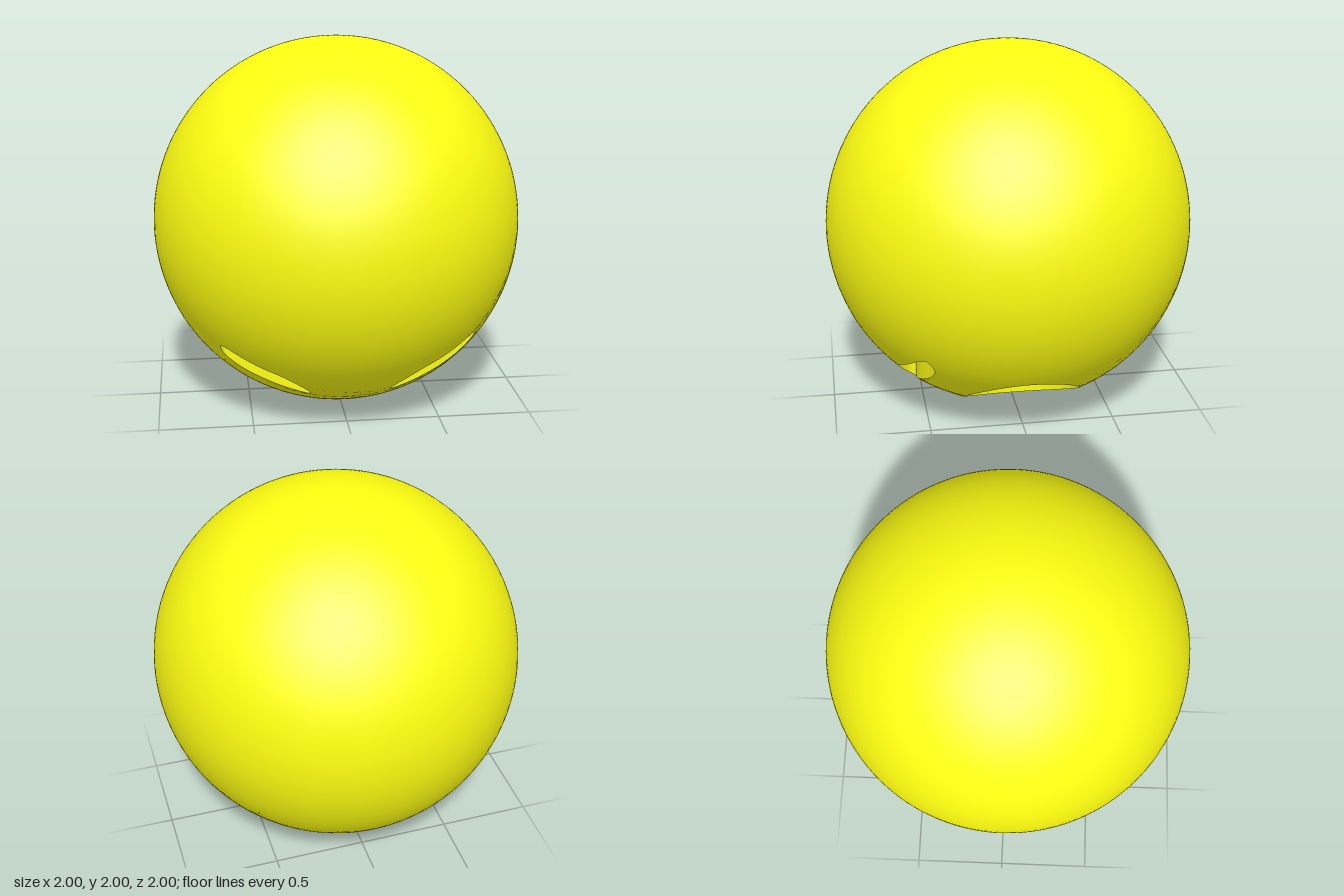
import * as THREE from 'three';

const OUTER = 1, INNER = 0.9, CENTRE_Y = 1, SHIFT = 0.01;

const yellow = new THREE.MeshStandardMaterial({ color: 0xffff11 });
const yellowThin = new THREE.MeshStandardMaterial({ color: 0xffff11, side: THREE.DoubleSide });
const grey = new THREE.MeshStandardMaterial({ color: 0x555555, side: THREE.DoubleSide });
const black = new THREE.MeshStandardMaterial({ color: 0x080808, side: THREE.DoubleSide });

const V2 = (x, z) => new THREE.Vector2(x, z);

// Outlines are drawn in the x-z plane and cut straight up into the ball
function circle(cx, r, n) {
  return Array.from({ length: n }, (_, i) => {
    const a = (i / n) * Math.PI * 2;
    return V2(cx + r * Math.cos(a), r * Math.sin(a));
  });
}

function browOutline(side) {
  const pts = [[0.21, 0.556], [0.24, 0.605], [0.35, 0.652], [0.49, 0.626], [0.64, 0.56],
    [0.675, 0.52], [0.655, 0.487], [0.6, 0.492], [0.43, 0.54], [0.3, 0.553]];
  const curve = new THREE.CatmullRomCurve3(
    pts.map(([x, z]) => new THREE.Vector3(side * x + SHIFT, 0, z)), true);
  return curve.getPoints(60).slice(0, -1).map((p) => V2(p.x, p.z));
}

function mouthOutline() {
  const out = [], hx = 0.26, hz = 0.057, r = 0.045;
  [[1, 1], [-1, 1], [-1, -1], [1, -1]].forEach(([sx, sz], q) => {
    for (let i = 0; i <= 8; i++) {
      const a = (q + i / 8) * Math.PI / 2;
      out.push(V2(SHIFT + sx * (hx - r) + r * Math.cos(a), -0.598 + sz * (hz - r) + r * Math.sin(a)));
    }
  });
  return out;
}

// Height of the lower half of a ball of radius R above an x-z point
const lowerY = (p, R) => CENTRE_Y - Math.sqrt(Math.max(0, R * R - p.lengthSq()));

// Split every edge longer than the limit until the triangles are small
function refine(pts, tris, limit) {
  for (let pass = 0; pass < 10; pass++) {
    const mids = new Map(), next = [];
    const mid = (a, b) => {
      if (pts[a].distanceTo(pts[b]) <= limit) return -1;
      const key = a < b ? `${a}_${b}` : `${b}_${a}`;
      if (!mids.has(key)) {
        mids.set(key, pts.length);
        pts.push(pts[a].clone().lerp(pts[b], 0.5));
      }
      return mids.get(key);
    };
    for (const t of tris) {
      const ring = [], m = [];
      for (let i = 0; i < 3; i++) {
        m[i] = mid(t[i], t[(i + 1) % 3]);
        ring.push(t[i]);
        if (m[i] >= 0) ring.push(m[i]);
      }
      if (ring.length === 6) {
        next.push([t[0], m[0], m[2]], [m[0], t[1], m[1]], [m[2], m[1], t[2]], m);
      } else {
        // start the fan at a split point so no sliver is flat
        const s = ring.findIndex((v) => m.includes(v));
        const f = s < 0 ? ring : [...ring.slice(s), ...ring.slice(0, s)];
        for (let i = 1; i < f.length - 1; i++) next.push([f[0], f[i], f[i + 1]]);
      }
    }
    tris = next;
    if (!mids.size) break;
  }
  return tris;
}

// Part of the lower half of a ball, bounded by a contour and pierced by holes
function ballPatch(contour, holes, R, inward = false) {
  const flatten = (p) => {
    const r = p.length();
    return r < 1e-9 ? p.clone() : p.clone().multiplyScalar(Math.asin(Math.min(1, r / R)) / r);
  };
  const c = contour.map(flatten), h = holes.map((o) => o.map(flatten));
  const pts = [c, ...h].flat();
  const tris = refine(pts, THREE.ShapeUtils.triangulateShape(c, h), 0.08);
  const pos = [], nor = [], index = [], s = inward ? -1 : 1;
  for (const p of pts) {
    const a = p.length(), k = a < 1e-9 ? 1 : Math.sin(a) / a;
    const n = [p.x * k, -Math.cos(a), p.y * k];
    pos.push(n[0] * R, CENTRE_Y + n[1] * R, n[2] * R);
    nor.push(n[0] * s, n[1] * s, n[2] * s);
  }
  for (const [i, j, k] of tris) {
    const area = pts[j].clone().sub(pts[i]).cross(pts[k].clone().sub(pts[i]));
    if (area * s > 0) index.push(i, j, k); else index.push(i, k, j);
  }
  const g = new THREE.BufferGeometry();
  g.setAttribute('position', new THREE.Float32BufferAttribute(pos, 3));
  g.setAttribute('normal', new THREE.Float32BufferAttribute(nor, 3));
  g.setIndex(index);
  return g;
}

// Upright wall of a cut, joining the outer skin to the inner skin
function cutWall(outline) {
  const pos = [], index = [], n = outline.length;
  outline.forEach((p, i) => {
    pos.push(p.x, lowerY(p, OUTER), p.y, p.x, lowerY(p, INNER), p.y);
    const a = 2 * i, b = 2 * ((i + 1) % n);
    index.push(a, a + 1, b, b, a + 1, b + 1);
  });
  const g = new THREE.BufferGeometry();
  g.setAttribute('position', new THREE.Float32BufferAttribute(pos, 3));
  g.setIndex(index);
  g.computeVertexNormals();
  return g;
}

export function createModel() {
  const model = new THREE.Group();
  model.name = 'faceBall';
  const add = (name, geometry, material) => {
    const mesh = new THREE.Mesh(geometry, material);
    mesh.name = name;
    model.add(mesh);
    return mesh;
  };

  const eyes = [1, -1].map((s) => circle(s * 0.455 + SHIFT, 0.313, 64));
  const brows = [1, -1].map(browOutline);
  const cuts = [...eyes, ...brows, mouthOutline()];
  const cutNames = ['leftEyeWall', 'rightEyeWall', 'leftBrowWall', 'rightBrowWall', 'mouthWall'];

  // Hollow shell: plain upper half, pierced lower half
  const dome = (R) => new THREE.SphereGeometry(R, 128, 32, 0, Math.PI * 2, 0, Math.PI / 2);
  add('upperShell', dome(OUTER), yellow).position.y = CENTRE_Y;
  const lining = dome(INNER);
  lining.scale(-1, 1, 1); // mirrored so its faces point inward
  lining.attributes.normal.array.forEach((v, i, a) => { a[i] = -v; });
  add('upperLining', lining, yellow).position.y = CENTRE_Y;
  add('lowerShell', ballPatch(circle(0, OUTER, 128), cuts, OUTER), yellow);
  add('lowerLining', ballPatch(circle(0, INNER, 128), cuts, INNER, true), yellow);
  cuts.forEach((o, i) => add(cutNames[i], cutWall(o), yellowThin));

  // Recessed eyes with round pupils
  [1, -1].forEach((s, i) => {
    const side = s > 0 ? 'left' : 'right';
    const pupil = circle(s * 0.455 + SHIFT, 0.105, 40);
    add(side + 'Eye', ballPatch(eyes[i], [pupil], INNER), grey);
    add(side + 'Pupil', ballPatch(pupil, [], INNER), black);
  });
  return model;
}
